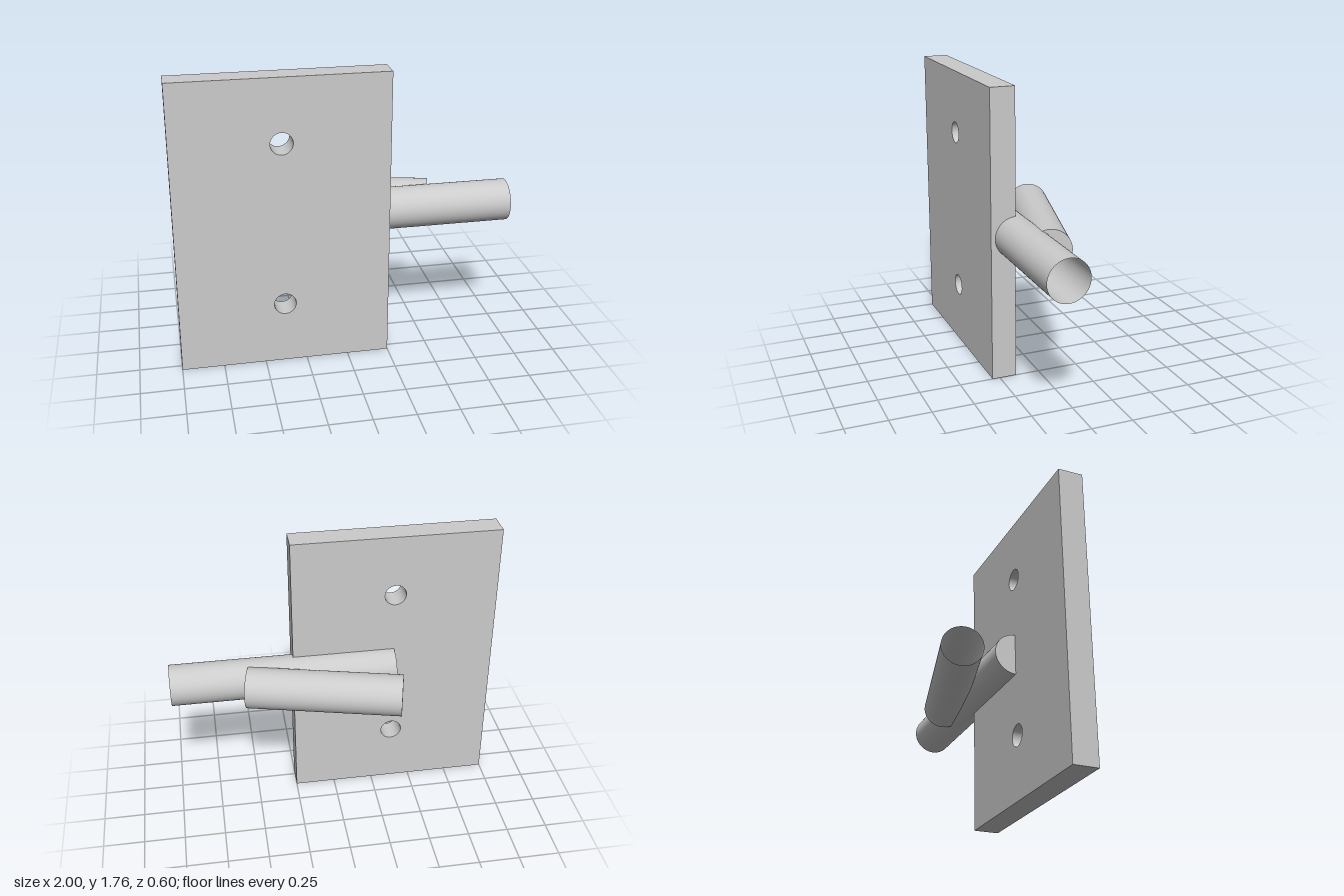
import * as THREE from 'three';

const material = new THREE.MeshStandardMaterial({ color: 0xcccccc });
const thinMaterial = new THREE.MeshStandardMaterial({ color: 0xcccccc, side: THREE.DoubleSide });

const RADIUS = 0.125;
const MID_Y = 0.88;

// Thin-walled tube along local x, centred on its origin, closed at one end (-1 or +1)
function makeTube(name, length, closedEnd) {
  const tube = new THREE.Group();
  tube.name = name;

  const wall = new THREE.Mesh(
    new THREE.CylinderGeometry(RADIUS, RADIUS, length, 64, 1, true).rotateZ(-Math.PI / 2),
    thinMaterial
  );
  wall.name = name + 'Wall';

  const cap = new THREE.Mesh(
    new THREE.CircleGeometry(RADIUS, 64).rotateY(closedEnd * Math.PI / 2),
    thinMaterial
  );
  cap.name = name + 'EndCap';
  cap.position.x = closedEnd * length / 2;

  tube.add(wall, cap);
  return tube;
}

export function createModel() {
  const model = new THREE.Group();
  model.name = 'plateWithRods';

  // Mounting plate with two screw holes
  const outline = new THREE.Shape([
    new THREE.Vector2(-1, 0),
    new THREE.Vector2(0.25, 0),
    new THREE.Vector2(0.25, 1.76),
    new THREE.Vector2(-1, 1.76),
  ]);
  for (const y of [0.38, 1.38]) {
    outline.holes.push(new THREE.Path().absarc(-0.375, y, 0.065, 0, Math.PI * 2, true));
  }
  const plate = new THREE.Mesh(
    new THREE.ExtrudeGeometry(outline, { depth: 0.15, bevelEnabled: false, curveSegments: 48 }),
    material
  );
  plate.name = 'mountingPlate';
  plate.position.z = 0.147;
  model.add(plate);

  // Straight rod half sunk in the plate, open at its outer end
  const straight = makeTube('straightRod', 1.375, -1);
  straight.position.set(0.3125, MID_Y, 0.147);
  model.add(straight);

  // Slanted handle rod running into the straight rod, open at its free end
  const slanted = makeTube('slantedRod', 0.934, 1);
  slanted.position.set(0.086, MID_Y, -0.063);
  slanted.rotation.y = -THREE.MathUtils.degToRad(14.2);
  model.add(slanted);

  return model;
}
